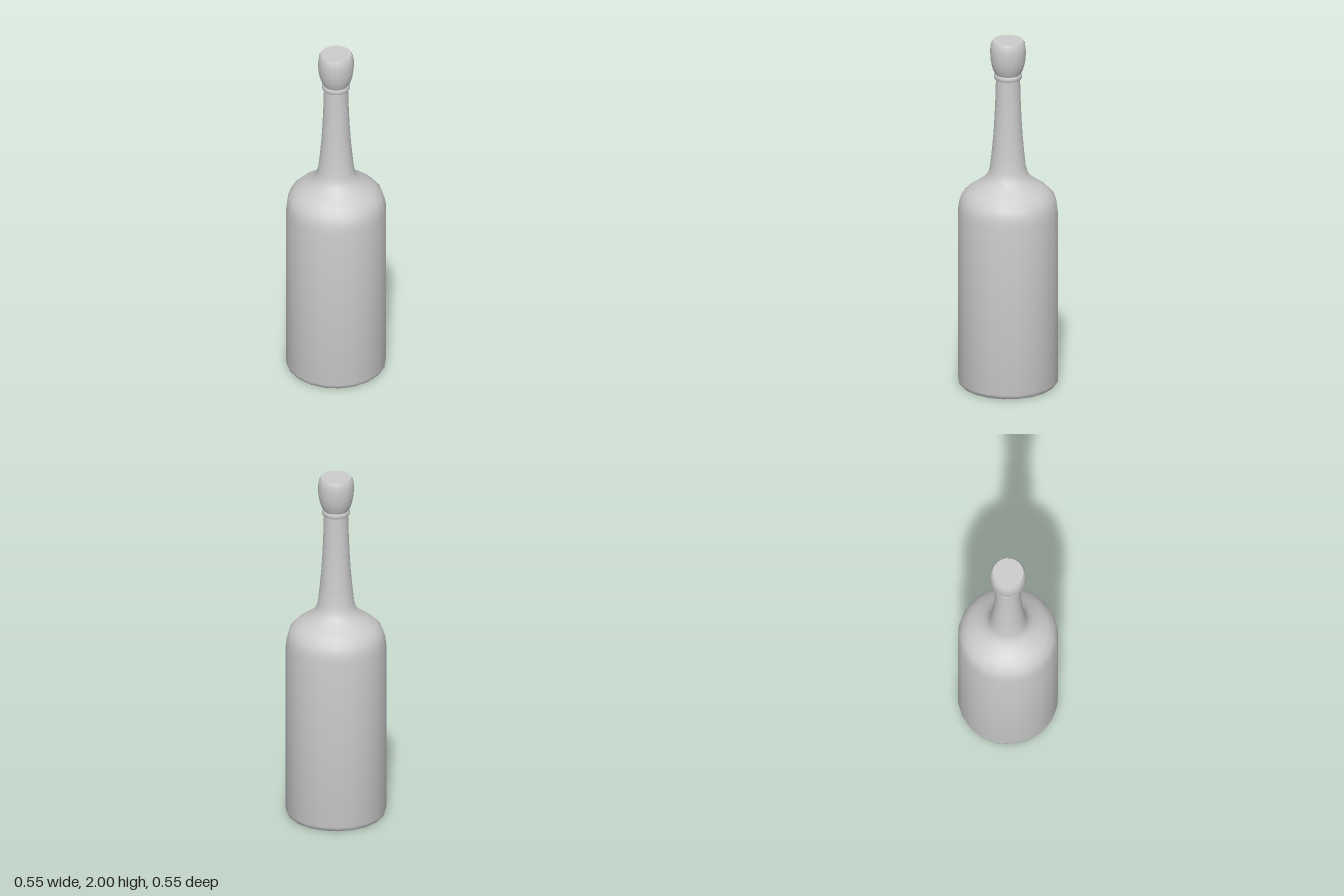
import * as THREE from 'three';
import { toCreasedNormals } from 'three/addons/utils/BufferGeometryUtils.js';

const SIDES = 20;
const material = new THREE.MeshStandardMaterial({ color: 0xcccccc });

// Turns a profile of [radius, height] points, listed bottom to top, about the y axis
function turned(name, profile) {
  const points = profile.map(([r, y]) => new THREE.Vector2(r, y));
  const geometry = toCreasedNormals(new THREE.LatheGeometry(points, SIDES), 0.75);
  const mesh = new THREE.Mesh(geometry, material);
  mesh.name = name;
  return mesh;
}

export function createModel() {
  const bottle = new THREE.Group();
  bottle.name = 'bottle';

  // Base, straight body, rounded shoulder and tapering neck
  bottle.add(turned('bottleBody', [
    [0, 0], [0.262, 0], [0.27, 0.008], [0.274, 0.025],
    [0.274, 1.0], [0.268, 1.045], [0.255, 1.09], [0.222, 1.125], [0.18, 1.155],
    [0.145, 1.18], [0.12, 1.205], [0.107, 1.23], [0.099, 1.26],
    [0.089, 1.35], [0.08, 1.45], [0.074, 1.55], [0.069, 1.67], [0.066, 1.79], [0, 1.79],
  ]));

  // Lip at the top of the neck
  bottle.add(turned('neckRing', [
    [0, 1.78], [0.073, 1.78], [0.076, 1.785], [0.076, 1.803], [0.073, 1.808], [0, 1.808],
  ]));

  // Rounded stopper with a flat top
  bottle.add(turned('stopper', [
    [0, 1.808], [0.07, 1.808], [0.081, 1.83], [0.09, 1.86], [0.096, 1.895],
    [0.098, 1.93], [0.097, 1.96], [0.093, 1.985], [0.085, 2.0], [0, 2.0],
  ]));

  return bottle;
}
